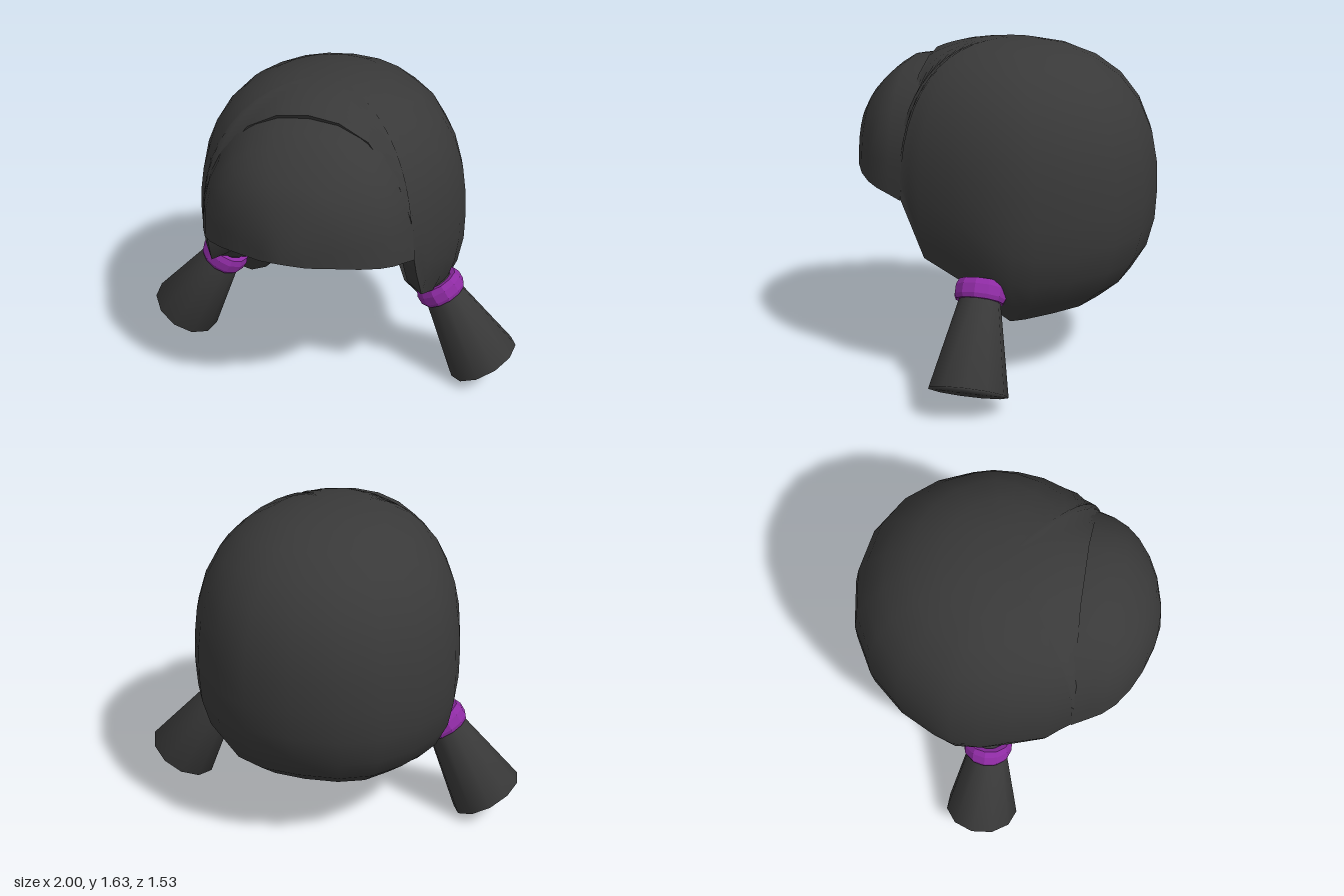
import * as THREE from 'three';
import { mergeGeometries, mergeVertices } from 'three/addons/utils/BufferGeometryUtils.js';

const V = (x, y, z) => new THREE.Vector3(x, y, z);

// Smooth surface through a 2D array of points
function sheet(rows, flip = false) {
  const pos = [], idx = [], n = rows[0].length;
  rows.forEach(r => r.forEach(p => pos.push(p.x, p.y, p.z)));
  for (let i = 0; i < rows.length - 1; i++) {
    for (let j = 0; j < n - 1; j++) {
      const a = i * n + j, b = a + n, c = b + 1, d = a + 1;
      idx.push(...(flip ? [a, c, b, a, d, c] : [a, b, c, a, c, d]));
    }
  }
  let g = new THREE.BufferGeometry();
  g.setAttribute('position', new THREE.Float32BufferAttribute(pos, 3));
  g.setIndex(idx);
  g = mergeVertices(g, 1e-5);
  g.computeVertexNormals();
  return g;
}

const shrink = (rows, centre, s) =>
  rows.map(r => r.map(p => p.clone().sub(centre).multiplyScalar(s).add(centre)));

// Main hair: columns run from the crown to an irregular rim round face and nape
function capGeometry() {
  const centre = V(0, 0.87, 0), N = 2.5, M = 2.1, ROWS = 12;
  const radius = d => {
    const plan = Math.pow(Math.abs(d.x) / 0.658, M) +
      Math.pow(Math.abs(d.z) / (d.z > 0 ? 0.65 : 0.772), M);
    const rise = Math.pow(Math.abs(d.y) / (d.y > 0 ? 0.76 : 0.62), N);
    return Math.pow(Math.pow(plan, N / M) + rise, -1 / N);
  };
  const half = [
    [0, 1.572, 0.36], [0.15, 1.55, 0.36], [0.29, 1.48, 0.37], [0.45, 1.28, 0.395],
    [0.51, 1.12, 0.4], [0.53, 0.92, 0.4], [0.535, 0.8, 0.35], [0.55, 0.64, 0.28],
    [0.57, 0.55, 0.1], [0.54, 0.42, -0.03], [0.49, 0.33, -0.13], [0.43, 0.322, -0.19],
    [0.37, 0.34, -0.31], [0.28, 0.355, -0.43], [0.16, 0.37, -0.5], [0, 0.385, -0.535],
  ].map(p => V(...p));
  const mirrored = half.slice(0, -1).reverse().map(p => V(-p.x, p.y, p.z));
  const rim = [...half, ...mirrored];
  const rows = [];
  for (let i = 0; i <= ROWS; i++) {
    const t = i / ROWS;
    rows.push(rim.map(p => {
      const end = p.clone().sub(centre), len = end.length();
      end.divideScalar(len);
      const flat = V(end.x, 0, end.z).normalize(), ang = Math.acos(end.y) * t;
      const d = flat.multiplyScalar(Math.sin(ang)).setY(Math.cos(ang));
      const k = 1 + (len / radius(end) - 1) * t * t;
      return d.multiplyScalar(radius(d) * k).add(centre);
    }));
  }
  const inner = shrink(rows, centre, 0.85);
  return mergeGeometries([
    sheet(rows), sheet(inner, true), sheet([rows[ROWS], inner[ROWS]]),
  ]);
}

// Fringe: arches that close towards the forehead, tucked under the cap at the back
function fringeGeometry() {
  const SEG = 14;
  // z, half width, top y, bottom y
  const slices = [
    [0.4, 0.533, 1.553, 0.912], [0.47, 0.5, 1.535, 0.932], [0.54, 0.465, 1.49, 0.95],
    [0.6, 0.415, 1.435, 0.966], [0.66, 0.335, 1.37, 0.984], [0.71, 0.235, 1.29, 1.0],
    [0.75, 0.11, 1.16, 1.005], [0.768, 0, 1.015, 1.015],
  ];
  const rows = slices.map(([z, w, top, bottom], i) => {
    const row = [];
    for (let j = 0; j <= SEG; j++) {
      const a = Math.PI * j / SEG, c = Math.cos(a), s = Math.abs(Math.sin(a));
      row.push(V(-w * Math.sign(c) * Math.pow(Math.abs(c), 0.88),
        bottom + (top - bottom) * Math.pow(s, 0.88), z - (i === 0 ? 0.07 * s : 0)));
    }
    return row;
  });
  const inner = shrink(rows, V(0, 0.95, 0.3), 0.95);
  return mergeGeometries([
    sheet(rows), sheet(inner, true), sheet([inner[0], rows[0]]),
    sheet(rows.map((r, i) => [inner[i][0], r[0]])),
    sheet(rows.map((r, i) => [r[SEG], inner[i][SEG]])),
  ]);
}

// Flared pigtail with its end softly shaded into the sides
function tailGeometry() {
  let g = new THREE.CylinderGeometry(0.085, 0.191, 0.51, 11);
  g.translate(0, -0.255, 0);
  g.deleteAttribute('uv');
  g.deleteAttribute('normal');
  g = mergeVertices(g, 1e-5);
  g.computeVertexNormals();
  return g;
}

// Faceted band, a ring round the y axis
function tieGeometry() {
  const profile = [[0.085, -0.045], [0.115, -0.045], [0.125, -0.025], [0.125, 0.02],
    [0.112, 0.05], [0.085, 0.05]].map(p => new THREE.Vector2(...p));
  const g = new THREE.LatheGeometry(profile, 12).toNonIndexed();
  g.computeVertexNormals();
  return g;
}

export function createModel() {
  const hair = new THREE.MeshStandardMaterial({ color: 0x393939 });
  hair.name = 'charcoal hair';
  const purple = new THREE.MeshStandardMaterial({ color: 0x8e2ba3 });
  purple.name = 'purple band';

  const model = new THREE.Group();
  model.name = 'hairstyle';
  const add = (parent, name, geometry, material) => {
    const mesh = new THREE.Mesh(geometry, material);
    mesh.name = name;
    parent.add(mesh);
    return mesh;
  };

  add(model, 'hairCap', capGeometry(), hair);
  add(model, 'fringe', fringeGeometry(), hair);

  // Pigtails flare outwards and down from their ties
  const tailGeo = tailGeometry();
  const tieGeo = tieGeometry();
  for (const side of [1, -1]) {
    const bunch = new THREE.Group();
    bunch.name = side > 0 ? 'leftPigtail' : 'rightPigtail';
    bunch.position.set(side * 0.57, 0.534, -0.008);
    bunch.rotation.z = side * 0.554;
    add(bunch, 'tail', tailGeo, hair);
    add(bunch, 'hairTie', tieGeo, purple).position.y = -0.036;
    model.add(bunch);
  }
  return model;
}
